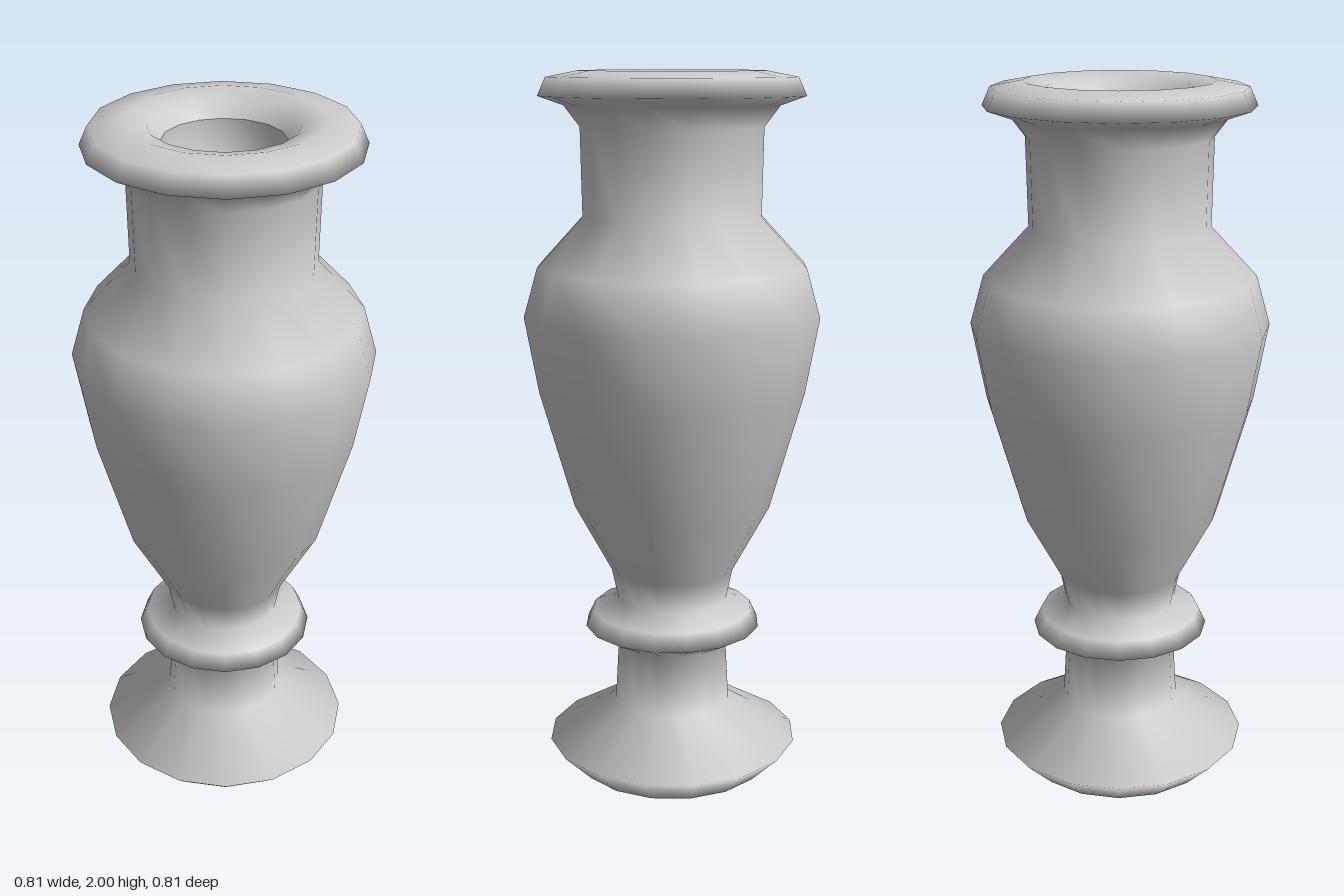
import * as THREE from 'three';

// Profiles are [radius, height] pairs, turned in 16 sides with smooth normals.
const SIDES = 16;

function turned(name, profile, material) {
  const points = profile.map(([r, y]) => new THREE.Vector2(r, y));
  const mesh = new THREE.Mesh(new THREE.LatheGeometry(points, SIDES), material);
  mesh.name = name;
  return mesh;
}

export function createModel() {
  const stone = new THREE.MeshStandardMaterial({ color: 0xcccccc });
  stone.name = 'pale grey stone';

  const model = new THREE.Group();
  model.name = 'vase';

  // One continuous skin, so that the shading flows from foot to mouth
  const foot = [[0, 0], [0.275, 0.046], [0.355, 0.126], [0.165, 0.24]];
  const collar = [[0.155, 0.418], [0.248, 0.467], [0.226, 0.513], [0.155, 0.545]];
  const belly = [[0.173, 0.632], [0.275, 0.823], [0.367, 1.15], [0.404, 1.358], [0.366, 1.49]];
  const neck = [[0.242, 1.623], [0.246, 1.857]];
  const lip = [[0.288, 1.912], [0.356, 1.936], [0.334, 1.984], [0.25, 2]];
  const mouth = [[0.19, 1.985], [0.157, 1.945]];
  model.add(turned('vaseBody', [...foot, ...collar, ...belly, ...neck, ...lip, ...mouth], stone));

  // Shallow well inside the mouth
  model.add(turned('mouthWell', [[0.157, 1.945], [0.158, 1.87], [0.13, 1.835], [0, 1.825]], stone));

  return model;
}
